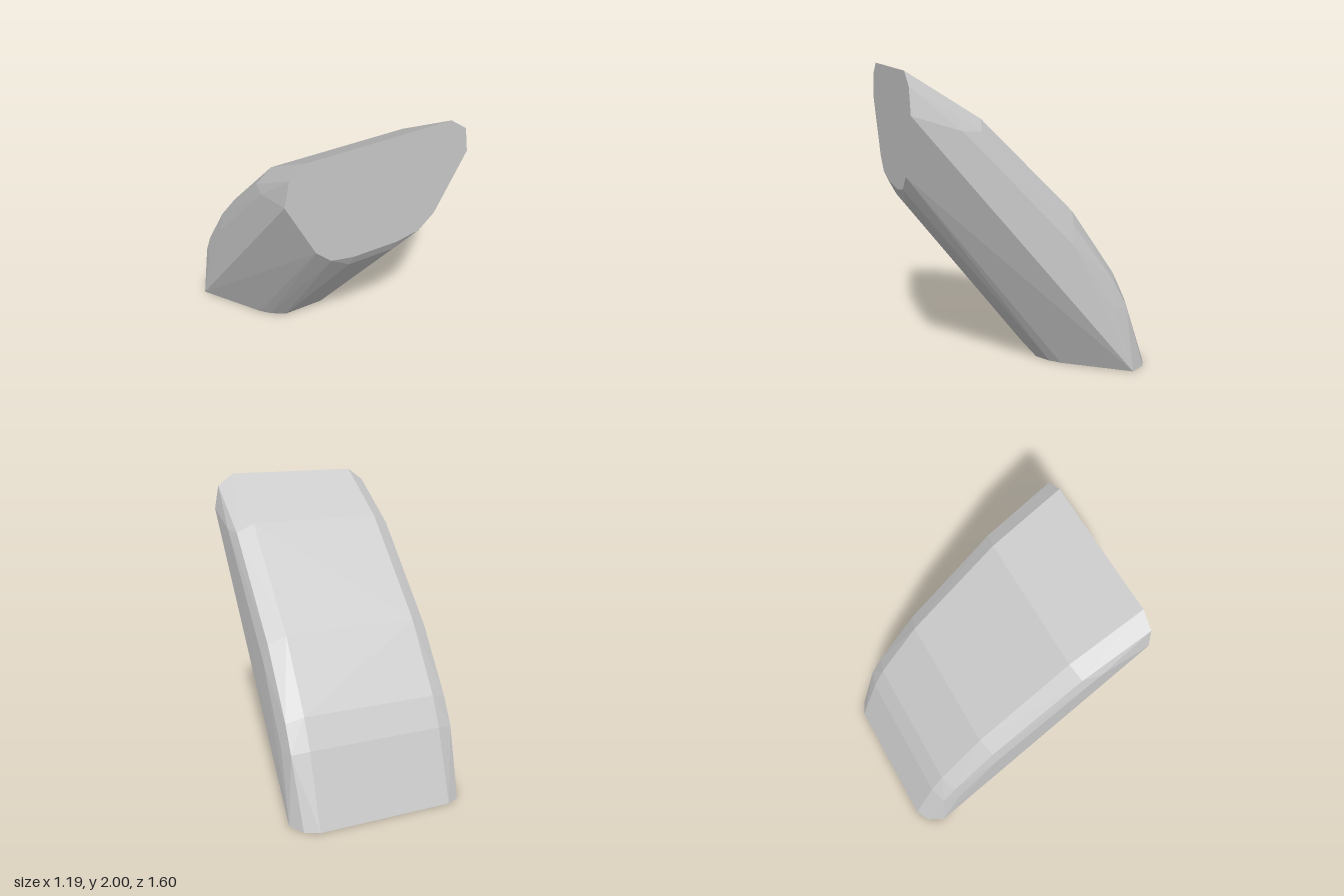
import * as THREE from 'three';
import { ConvexGeometry } from 'three/addons/geometries/ConvexGeometry.js';

// Corner rows given as [x, y, z] on the +x half; each is mirrored to -x.
const frontFace = [
  [0.45, 2, 0.8], [0.56, 1.92, 0.8], [0.59, 1.76, 0.8],
  [0.4, 1.38, 0.8], [0.3, 1.285, 0.8], [0.15, 1.255, 0.8],
];
const frontChamfer = [[0.15, 1.16, 0.75]];
const base = [
  [0.45, 0, -0.8], [0.54, 0, -0.755], [0.597, 0, -0.65],
  [0.31, 0, -0.25], [0.25, 0, -0.19], [0.15, 0, -0.13],
];

// Stations down the curved back: [y, z] of ridge, shoulder and flank
const stations = [
  [[1.71, 0.35], [1.65, 0.38], [1.66, 0.5]],
  [[1.1, -0.25], [1.04, -0.215], [0.92, -0.2]],
  [[0.66, -0.55], [0.62, -0.515], [0.46, -0.5]],
  [[0.47, -0.64], [0.45, -0.605]],
];
const stationX = [0.45, 0.56, 0.587];

export function createModel() {
  const back = stations.flatMap((s) => s.map(([y, z], i) => [stationX[i], y, z]));
  const half = [...frontFace, ...frontChamfer, ...base, ...back];
  const points = half.flatMap(([x, y, z]) => [
    new THREE.Vector3(x, y, z),
    new THREE.Vector3(-x, y, z),
  ]);

  // Leaning faceted block, closed as the hull of its corners
  const block = new THREE.Mesh(
    new ConvexGeometry(points),
    new THREE.MeshStandardMaterial({ color: 0xcccccc, flatShading: true }),
  );
  block.name = 'leaningBlock';

  const group = new THREE.Group();
  group.name = 'facetedBlock';
  group.add(block);
  return group;
}
